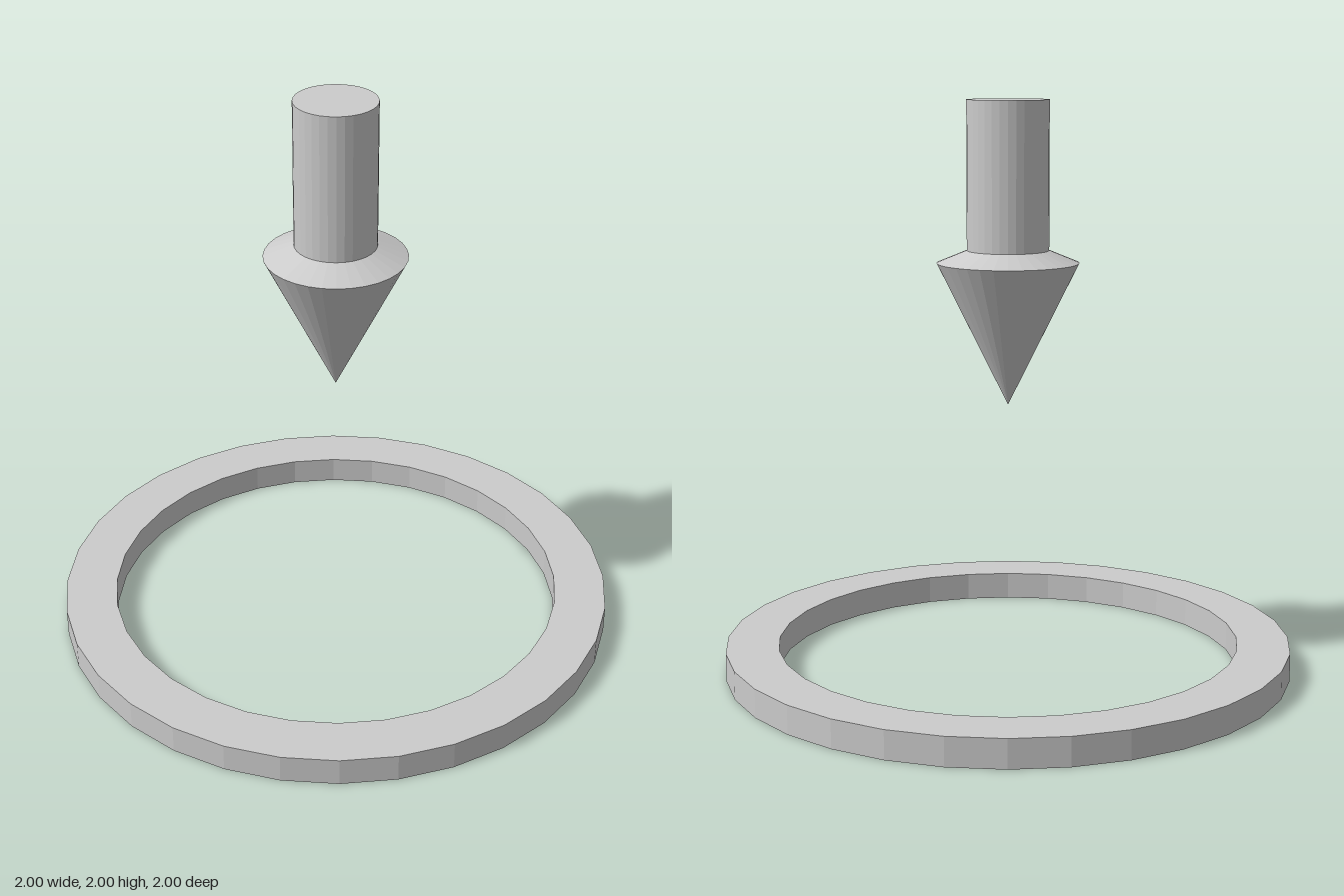
import * as THREE from 'three';

const SIDES = 32;

export function createModel() {
  const group = new THREE.Group();
  const material = new THREE.MeshStandardMaterial({ color: 0xcccccc, flatShading: true });

  // Turns a profile of [radius, height] pairs around the y axis
  const turned = (name, profile) => {
    const points = profile.map(([r, y]) => new THREE.Vector2(r, y));
    const mesh = new THREE.Mesh(new THREE.LatheGeometry(points, SIDES), material);
    mesh.name = name;
    group.add(mesh);
  };

  // Flat ring on the ground
  turned('groundRing', [[0.815, 0], [1, 0], [1, 0.1], [0.815, 0.1], [0.815, 0]]);

  // Floating arrow pointing down: tip, flared rim, sloped shoulder
  turned('arrowHead', [[0, 0.945], [0.247, 1.443], [0.142, 1.486]]);

  // Round shaft with a flat cap
  turned('arrowShaft', [[0.142, 1.486], [0.142, 2], [0, 2]]);

  return group;
}
